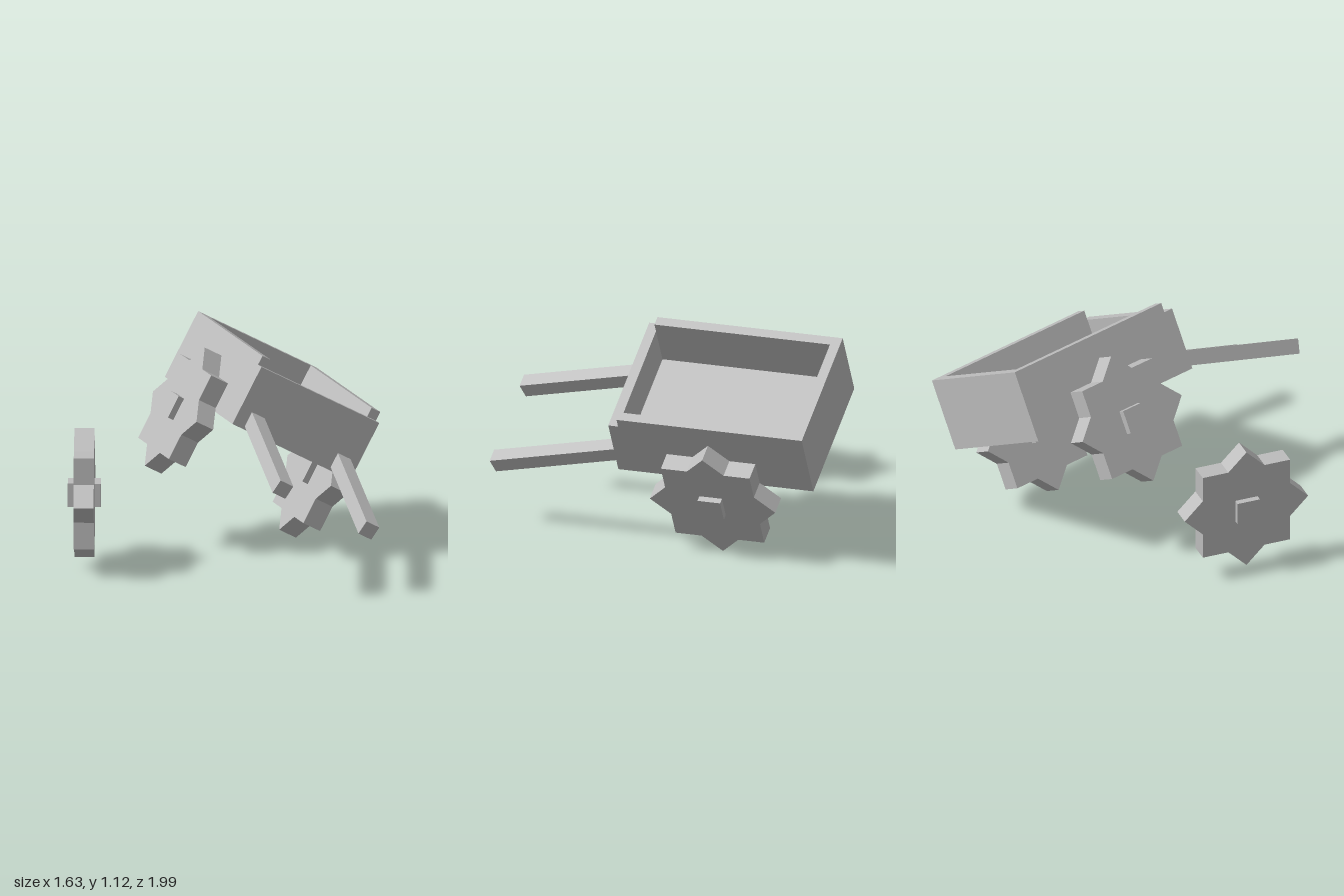
import * as THREE from 'three';

export function createModel() {
  const grey = new THREE.MeshStandardMaterial({ color: 0xbcbcbc });
  grey.name = 'grey';

  const model = new THREE.Group();
  model.name = 'brokenCart';

  const box = (name, parent, size, pos) => {
    const mesh = new THREE.Mesh(new THREE.BoxGeometry(...size), grey);
    mesh.name = name;
    mesh.position.set(...pos);
    parent.add(mesh);
    return mesh;
  };

  // Eight-pointed star wheel on the x axis, with a square hub poking through
  const R = 0.346, r = 0.265, T = 0.105;
  const star = new THREE.Shape(
    Array.from({ length: 16 }, (_, i) => {
      const a = (i * Math.PI) / 8, d = i % 2 ? r : R;
      return new THREE.Vector2(d * Math.cos(a), d * Math.sin(a));
    })
  );
  const starGeometry = new THREE.ExtrudeGeometry(star, { depth: T, bevelEnabled: false });
  starGeometry.translate(0, 0, -T / 2);
  starGeometry.rotateY(Math.PI / 2);

  const wheel = (name, parent, pos) => {
    const group = new THREE.Group();
    group.name = name;
    group.position.set(...pos);
    const rim = new THREE.Mesh(starGeometry, grey);
    rim.name = 'starRim';
    group.add(rim);
    box('hub', group, [0.172, 0.125, 0.125], [0, 0, 0]);
    parent.add(group);
  };

  // Cart frame: x across, y up, z forward; origin at the bottom right rear corner
  const cart = new THREE.Group();
  cart.name = 'cart';
  cart.position.set(-0.33, 0.782, -0.71);
  cart.rotation.set(0, THREE.MathUtils.degToRad(20), THREE.MathUtils.degToRad(-28.6), 'YXZ');
  model.add(cart);

  // Tray
  const W = 0.74, H = 0.385, L = 1.076, t = 0.054, frontH = 0.334, floorH = 0.12;
  const wallL = L - t;
  box('frontPanel', cart, [W, frontH, t], [W / 2, frontH / 2, L - t / 2]);
  box('backPanel', cart, [W - 2 * t, H, t], [W / 2, H / 2, t / 2]);
  box('floor', cart, [W - 2 * t, floorH, wallL - t], [W / 2, floorH / 2, (wallL + t) / 2]);

  // Side walls, handles and wheels, mirrored about the middle of the tray
  const pitch = THREE.MathUtils.degToRad(15.7), handleL = 0.8;
  for (const [side, k] of [['right', -1], ['left', 1]]) {
    box(side + 'Wall', cart, [t, H, wallL], [W / 2 + k * (W - t) / 2, H / 2, wallL / 2]);
    const handle = box(side + 'Handle', cart, [0.08, 0.08, handleL], [
      0.378 + k * 0.27,
      -0.148 + Math.sin(pitch) * handleL / 2,
      1.809 - Math.cos(pitch) * handleL / 2,
    ]);
    handle.rotation.x = pitch;
    wheel(side + 'Wheel', cart, [W / 2 + k * (W + T) / 2, -0.083, L / 2]);
  }

  // Detached wheel
  wheel('looseWheel', model, [-0.734, 0.405, 0.276]);

  return model;
}
